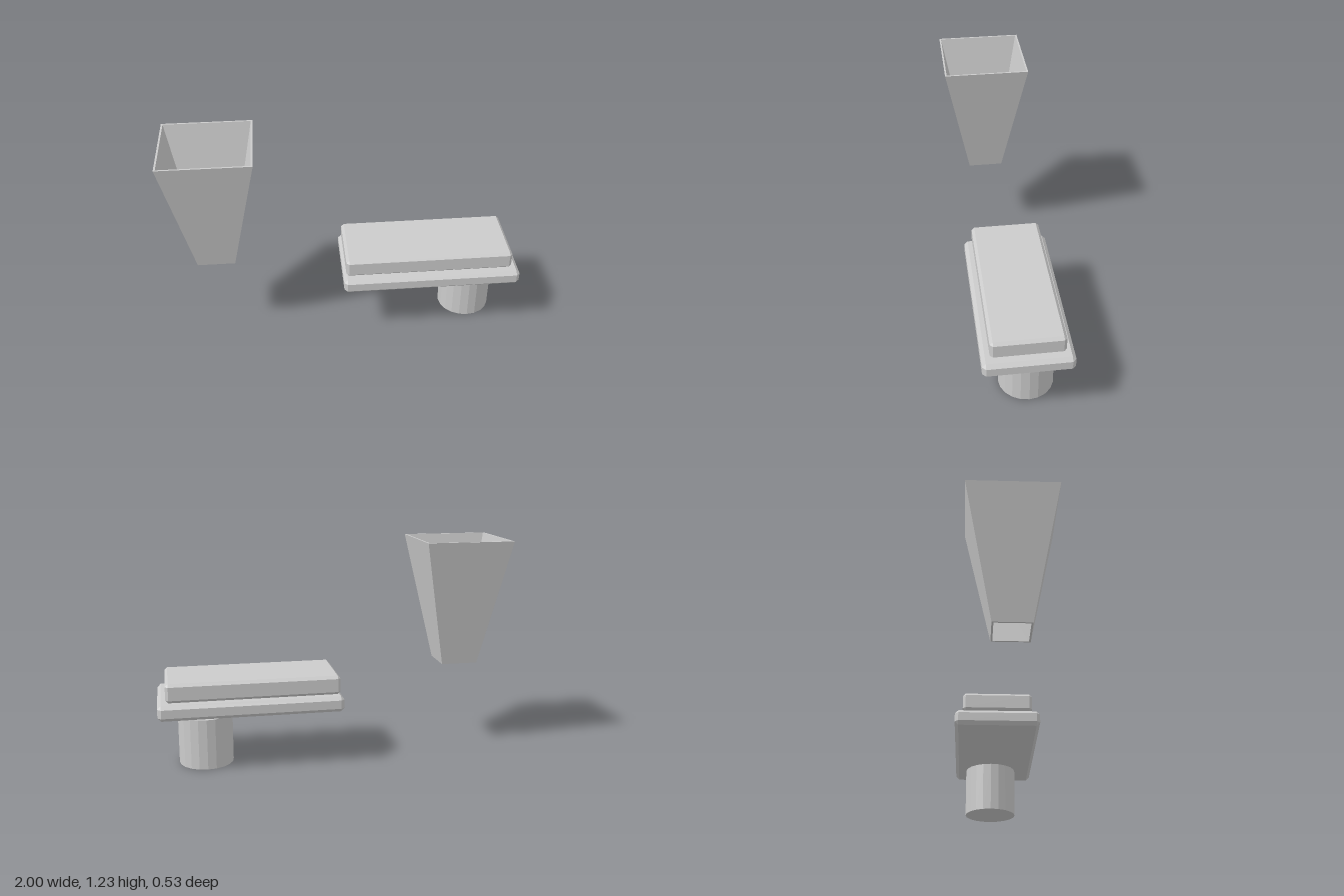
import * as THREE from 'three';
import { ConvexGeometry } from 'three/addons/geometries/ConvexGeometry.js';

const material = new THREE.MeshStandardMaterial({ color: 0xcccccc, flatShading: true });

function addPart(group, name, geometry, x, y, z) {
  const mesh = new THREE.Mesh(geometry, material);
  mesh.name = name;
  mesh.position.set(x, y, z);
  group.add(mesh);
  return mesh;
}

// Box with every edge and corner cut off by a single chamfer c
function chamferedBox(w, h, d, c) {
  const points = [];
  for (const sx of [-1, 1]) for (const sy of [-1, 1]) for (const sz of [-1, 1]) {
    for (let axis = 0; axis < 3; axis++) {
      const cut = [c, c, c];
      cut[axis] = 0;
      points.push(new THREE.Vector3(
        sx * (w / 2 - cut[0]), sy * (h / 2 - cut[1]), sz * (d / 2 - cut[2])));
    }
  }
  return new ConvexGeometry(points);
}

// Square tapered tube, open at both ends, from half widths at bottom and top
function squareFunnel(bottom, top, height, wall) {
  const k = Math.SQRT2;
  const profile = [
    [bottom - wall, 0], [bottom, 0], [top, height], [top - wall, height], [bottom - wall, 0],
  ].map(([half, y]) => new THREE.Vector2(half * k, y));
  return new THREE.LatheGeometry(profile, 4, Math.PI / 4);
}

export function createModel() {
  const model = new THREE.Group();
  model.name = 'model';

  // Pedestal and two stacked slabs
  addPart(model, 'pedestal', new THREE.CylinderGeometry(0.153, 0.153, 0.287, 20), 0.733, 0.1435, -0.043);
  addPart(model, 'lowerSlab', chamferedBox(1.025, 0.088, 0.482, 0.02), 0.483, 0.354, -0.022);
  addPart(model, 'upperSlab', chamferedBox(0.965, 0.107, 0.394, 0.016), 0.468, 0.4525, -0.022);

  // Hollow funnel floating beside them
  const funnel = addPart(model, 'funnel', squareFunnel(0.105, 0.25, 0.725, 0.01), -0.75, 0.508, 0.022);
  funnel.scale.z = 0.97;

  return model;
}
